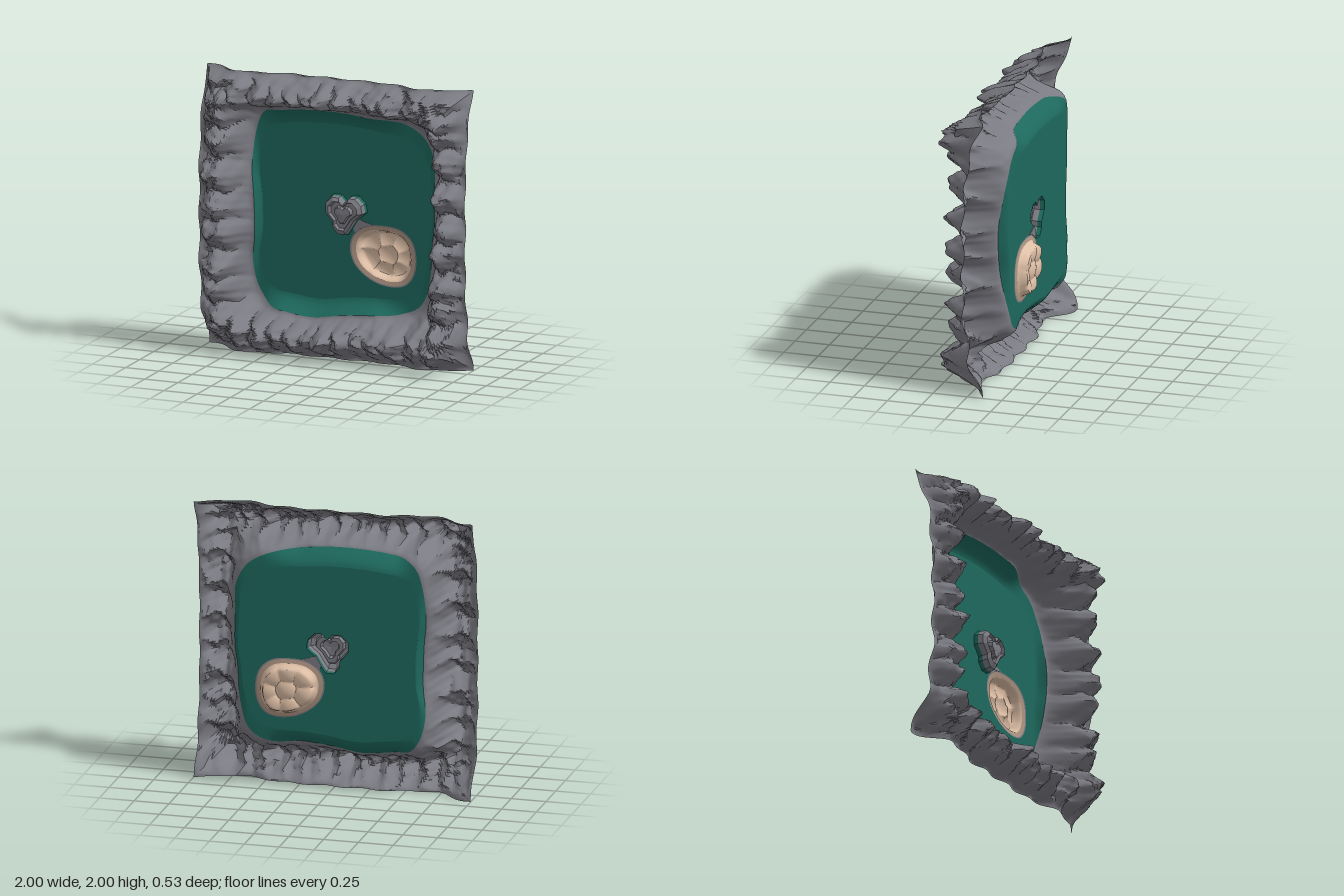
import * as THREE from 'three';
import { toCreasedNormals } from 'three/addons/utils/BufferGeometryUtils.js';

const FLOOR = -0.19; // depth of the flat lake sheet
const CY = 1;        // height of the sheet's centre

const mat = (name, color) =>
  Object.assign(new THREE.MeshStandardMaterial({ color, side: THREE.DoubleSide }), { name });

// Seeded random numbers
let seed = 7;
const rnd = () => (seed = (seed * 16807) % 2147483647) / 2147483647;

// Smooth closed outline through a few points, as n [x, y] pairs
function outline(pts, n) {
  const curve = new THREE.CatmullRomCurve3(pts.map(([x, y]) => new THREE.Vector3(x, y, 0)), true);
  return curve.getSpacedPoints(n).slice(0, n).map(p => [p.x, p.y]);
}

// Skin through closed loops of [x, y, z]
function loft(loops, crease) {
  const n = loops[0].length, index = [];
  for (let r = 0; r < loops.length - 1; r++)
    for (let i = 0; i < n; i++) {
      const a = r * n + i, b = r * n + (i + 1) % n;
      index.push(a, a + n, b, b, a + n, b + n);
    }
  const g = new THREE.BufferGeometry();
  g.setAttribute('position', new THREE.Float32BufferAttribute(loops.flat(2), 3));
  g.setIndex(index);
  g.computeVertexNormals();
  return crease ? toCreasedNormals(g, crease) : g;
}

const scaled = (pts, cx, cy, k) => pts.map(([x, y]) => [cx + (x - cx) * k, cy + (y - cy) * k]);
const smooth = (a, b, v) => THREE.MathUtils.smoothstep(v, a, b);
const lerp = THREE.MathUtils.lerp;

export function createModel() {
  const group = new THREE.Group();
  const rock = mat('grey rock', 0x7b7b83);
  const water = mat('deep green', 0x1d685d);
  const sand = mat('pale sand', 0xdebfa6);
  const brown = mat('rim brown', 0xae9583);
  const add = (name, geometry, material) => {
    const m = new THREE.Mesh(geometry, material);
    m.name = name;
    group.add(m);
  };

  // Outlines
  const lake = outline([[0.7, 1], [0.69, 1.35], [0.68, 1.45], [0.6, 1.6], [0.45, 1.69], [0.2, 1.73], [-0.05, 1.75],
    [-0.4, 1.73], [-0.6, 1.68], [-0.66, 1.55], [-0.68, 1.3], [-0.66, 1.1], [-0.655, 0.8], [-0.68, 0.6],
    [-0.64, 0.42], [-0.55, 0.32], [-0.4, 0.29], [-0.2, 0.27], [0, 0.3], [0.2, 0.32], [0.42, 0.33],
    [0.57, 0.4], [0.65, 0.6], [0.68, 0.85]], 400);
  const bowl = outline([[0.53, 0.74], [0.5, 0.85], [0.42, 0.92], [0.3, 0.94], [0.16, 0.925], [0.075, 0.865],
    [0.045, 0.78], [0.065, 0.68], [0.13, 0.6], [0.25, 0.535], [0.38, 0.52], [0.46, 0.545], [0.515, 0.62]], 72);
  const crag = [[0.17, 1.03], [0.16, 1.09], [0.11, 1.14], [0.06, 1.14], [0.02, 1.1], [-0.02, 1.14], [-0.08, 1.14],
    [-0.13, 1.09], [-0.13, 1.02], [-0.07, 0.95], [-0.07, 0.91], [-0.03, 0.86], [0.03, 0.86], [0.07, 0.92], [0.1, 0.97]];
  const bx = 0.29, by = 0.735, hx = 0.02, hy = 1.02;

  // Flat lake bed with openings for the crag and the bowl
  const bed = lake.map(([x, y]) => [x * 0.94, CY + (y - CY) * 0.85]);
  const toV2 = pts => pts.map(([x, y]) => new THREE.Vector2(x, y));
  const bedShape = new THREE.Shape(toV2(bed));
  bedShape.holes.push(new THREE.Path(toV2(crag)), new THREE.Path(toV2(scaled(bowl, bx, by, 1.03))));
  add('lakeBed', new THREE.ShapeGeometry(bedShape).translate(0, 0, FLOOR), water);

  // Sloping shore: high along the middle of each side, level at the corners
  const shoreZ = ([x, y]) => {
    const v = Math.abs(y - CY);
    const ends = 0.1 * smooth(0.5, 0.68, v) * (1 - smooth(x > 0 ? 0.2 : 0.45, x > 0 ? 0.5 : 0.63, Math.abs(x)));
    const sides = 0.06 * smooth(0.5, 0.65, Math.abs(x)) * (1 - smooth(0.1, 0.58, v));
    return FLOOR + 0.004 + Math.max(ends, sides);
  };
  const shore = [];
  for (let r = 0; r <= 6; r++) {
    const t = r / 6;
    shore.push(lake.map((p, i) => [lerp(bed[i][0], p[0], t), lerp(bed[i][1], p[1], t),
      FLOOR + (shoreZ(p) - FLOOR) * Math.pow(t, 1.6)]));
  }
  add('lakeShore', loft(shore), water);

  // Spikes of the rock ring: [position along the side, height]
  const across = [[-0.87, 0.21], [-0.7, 0.25], [-0.52, 0.24], [-0.4, 0.21], [-0.27, 0.22], [-0.17, 0.17], [-0.05, 0.25],
    [0.08, 0.22], [0.2, 0.13], [0.33, 0.17], [0.44, 0.2], [0.64, 0.18], [0.77, 0.26], [0.9, 0.12]];
  const upward = [[-0.84, 0.25], [-0.76, 0.26], [-0.55, 0.2], [-0.4, 0.22], [-0.15, 0.22], [0.03, 0.2], [0.25, 0.22],
    [0.5, 0.2], [0.7, 0.2], [0.8, 0.26], [0.93, 0.2]];
  const spikes = [];
  for (const side of [-1, 1]) {
    for (const [s, h] of across)
      spikes.push({ x: s, y: side * (0.8 + 0.06 * rnd()), h: h - 0.03 * rnd() * (side < 0), wx: 0.1, wy: 0.19 });
    for (const [s, h] of upward)
      spikes.push({ x: side * (0.8 + 0.06 * rnd()), y: s, h: h - 0.03 * rnd() * (side < 0), wx: 0.19, wy: 0.115 });
  }
  const CREST = 0.055;
  const rockZ = (x, y, t, z0) => {
    const ax = Math.abs(x), ay = Math.abs(y);
    const corner = smooth(0.7, 1, ax) * smooth(0.7, 1, ay);
    // Outer edge: lower above and below than at the sides, dropping at the corners
    const mid = ay > ax ? lerp(-0.06, 0, smooth(0.35, 0.65, ax)) : lerp(0.035, 0, smooth(0.35, 0.65, ay));
    const drop = x > 0 ? 0.1 : y > 0 ? 0.12 : 0.16;
    const edge = mid - corner * drop + 0.015 * Math.sin(x * 23 + y * 19);
    // The ground sinks towards the left corners
    const sink = x < 0 ? smooth(0.65, 0.9, ax) * smooth(0.65, 0.9, ay) * (y > 0 ? 0.1 : 0.15) : 0;
    const crest = CREST - sink;
    const base = t < 0.5 ? lerp(z0, crest, smooth(0, 0.5, t)) : lerp(crest, edge, smooth(0.5, 1, t));
    // Warp the sample point so the spikes get ragged flanks
    const u = x + 0.014 * Math.sin(y * 47 + x * 11), v = y + 0.014 * Math.sin(x * 43 - y * 13);
    let top = 0;
    for (const s of spikes) {
      const d = Math.hypot((u - s.x) / s.wx, (v - s.y) / s.wy);
      if (d < 1) top = Math.max(top, (s.h - CREST + 0.01) * (1 - Math.pow(d, 1.3)));
    }
    const fade = smooth(0, 0.3, t) * (1 - smooth(0.8, 1, t));
    const grain = 0.012 * Math.sin(x * 61 + y * 37) * Math.sin(y * 71 - x * 29) + 0.006 * (rnd() - 0.5);
    return base + fade * (top + grain);
  };

  // Square outer border, one point per shore point, with exact corners
  const border = lake.map(([x, y]) => {
    const k = 1 / Math.max(Math.abs(x), Math.abs(y - CY));
    return [x * k, (y - CY) * k];
  });
  for (const sx of [-1, 1])
    for (const sy of [-1, 1]) {
      const reach = border.map(([x, y]) => x * sx + y * sy);
      border[reach.indexOf(Math.max(...reach))] = [sx, sy];
    }
  const ring = [];
  for (let r = 0; r <= 30; r++) {
    const t = r / 30;
    ring.push(lake.map((p, i) => {
      const x = lerp(p[0], border[i][0], t), y = lerp(p[1] - CY, border[i][1], t);
      return [x, y + CY, rockZ(x, y, t, shoreZ(p))];
    }));
  }
  add('mountainRing', loft(ring, 0.6), rock);

  // Stepped crag in the lake: green foot, grey ledges
  const cragPart = steps => loft(steps.map(([k, z]) => scaled(crag, hx, hy, k).map(([x, y]) => [x, y, z])), 0.3);
  add('cragFoot', cragPart([[1, FLOOR], [0.97, -0.16]]), water);
  add('crag', cragPart([[0.97, -0.16], [0.92, -0.12], [0.72, -0.1], [0.65, -0.125], [0.45, -0.125], [0.38, -0.095], [0.001, -0.09]]), rock);

  // Rock strip joining the crag and the bowl
  const strip = new THREE.Shape(toV2([[0.06, 0.91], [0.1, 0.98], [0.15, 0.96], [0.21, 0.945], [0.14, 0.925], [0.075, 0.88]]));
  add('cragLink', new THREE.ExtrudeGeometry(strip, { depth: 0.008, bevelEnabled: false }).translate(0, 0, FLOOR - 0.004), rock);

  // Lumpy bowl sunk behind the lake bed, with a brown lip
  const bowlLoop = (k, z) => scaled(bowl, bx, by, k).map(([x, y]) => [x, y, z]);
  add('bowlEdge', loft([bowlLoop(1.03, FLOOR), bowlLoop(0.99, FLOOR - 0.002)]), rock);
  add('bowlLip', loft([bowlLoop(0.99, FLOOR - 0.002), bowlLoop(0.86, FLOOR - 0.008)]), brown);
  const lumps = [[0.3, 0.73], [0.18, 0.82], [0.29, 0.85], [0.41, 0.82], [0.45, 0.71], [0.4, 0.61], [0.28, 0.61], [0.17, 0.7]];
  const bowlLoops = [];
  for (let r = 0; r <= 24; r++) {
    const k = Math.max(0.86 * (1 - r / 24), 0.001);
    bowlLoops.push(bowlLoop(k, 0).map(([x, y]) => {
      let bump = 0;
      for (const [lx, ly] of lumps)
        bump = Math.max(bump, Math.sqrt(Math.max(0, 1 - ((x - lx) ** 2 + (y - ly) ** 2) / 0.0072)));
      return [x, y, FLOOR - 0.008 - smooth(0, 0.16, 0.86 - k) * (0.022 + 0.045 * bump)];
    }));
  }
  add('bowl', loft(bowlLoops, 0.7), sand);

  return group;
}
